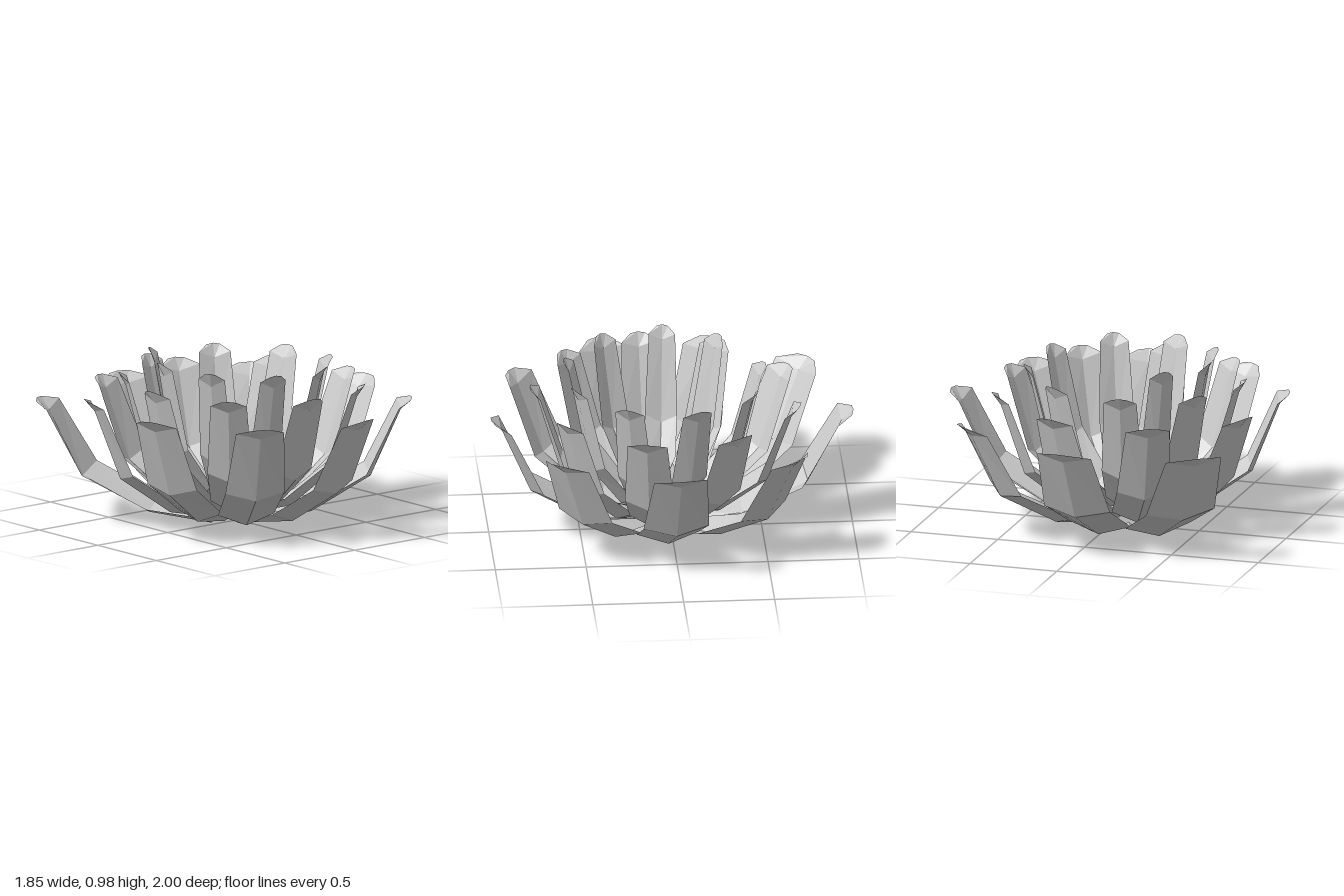
import * as THREE from 'three';

// Petal cross-sections from base to tip, pointing along +x:
// [keel reach, keel height, edge reach, edge height, half width]
const ROWS = [
  [0.13, 0.0, 0.115, 0.025, 0.045],
  [0.48, 0.045, 0.46, 0.10, 0.19],
  [0.85, 0.235, 0.815, 0.275, 0.20],
  [1.04, 0.595, 1.02, 0.625, 0.163],
  [1.11, 0.657, 1.10, 0.652, 0.07],
];

// Folded petal: a keel with one strip of faces on each side
function petalGeometry() {
  const positions = [];
  const index = [];
  for (const [kr, ky, er, ey, w] of ROWS) {
    positions.push(er, ey, -w, kr, ky, 0, er, ey, w);
  }
  for (let r = 0; r < ROWS.length - 1; r++) {
    for (let c = 0; c < 2; c++) {
      const a = r * 3 + c, b = a + 1, d = a + 3, e = a + 4;
      index.push(a, b, e, a, e, d);
    }
  }
  const indexed = new THREE.BufferGeometry();
  indexed.setAttribute('position', new THREE.Float32BufferAttribute(positions, 3));
  indexed.setIndex(index);
  const geometry = indexed.toNonIndexed();
  geometry.computeVertexNormals();
  return geometry;
}

export function createModel() {
  const model = new THREE.Group();
  model.name = 'flower';
  const material = new THREE.MeshStandardMaterial({
    color: 0xcccccc, flatShading: true, side: THREE.DoubleSide,
  });
  const geometry = petalGeometry();

  // Spiral of petals: each one turns, narrows, rises and stretches a little
  const COUNT = 27;
  for (let i = 0; i < COUNT; i++) {
    const petal = new THREE.Mesh(geometry, material);
    petal.name = `petal${i + 1}`;
    const spread = 0.968 ** i;
    petal.scale.set(spread, 1.0098 ** i, spread);
    petal.rotation.y = THREE.MathUtils.degToRad(128 - 41.4 * i);
    petal.position.set(-0.075, 0.005 * i, 0.065);
    model.add(petal);
  }
  return model;
}
